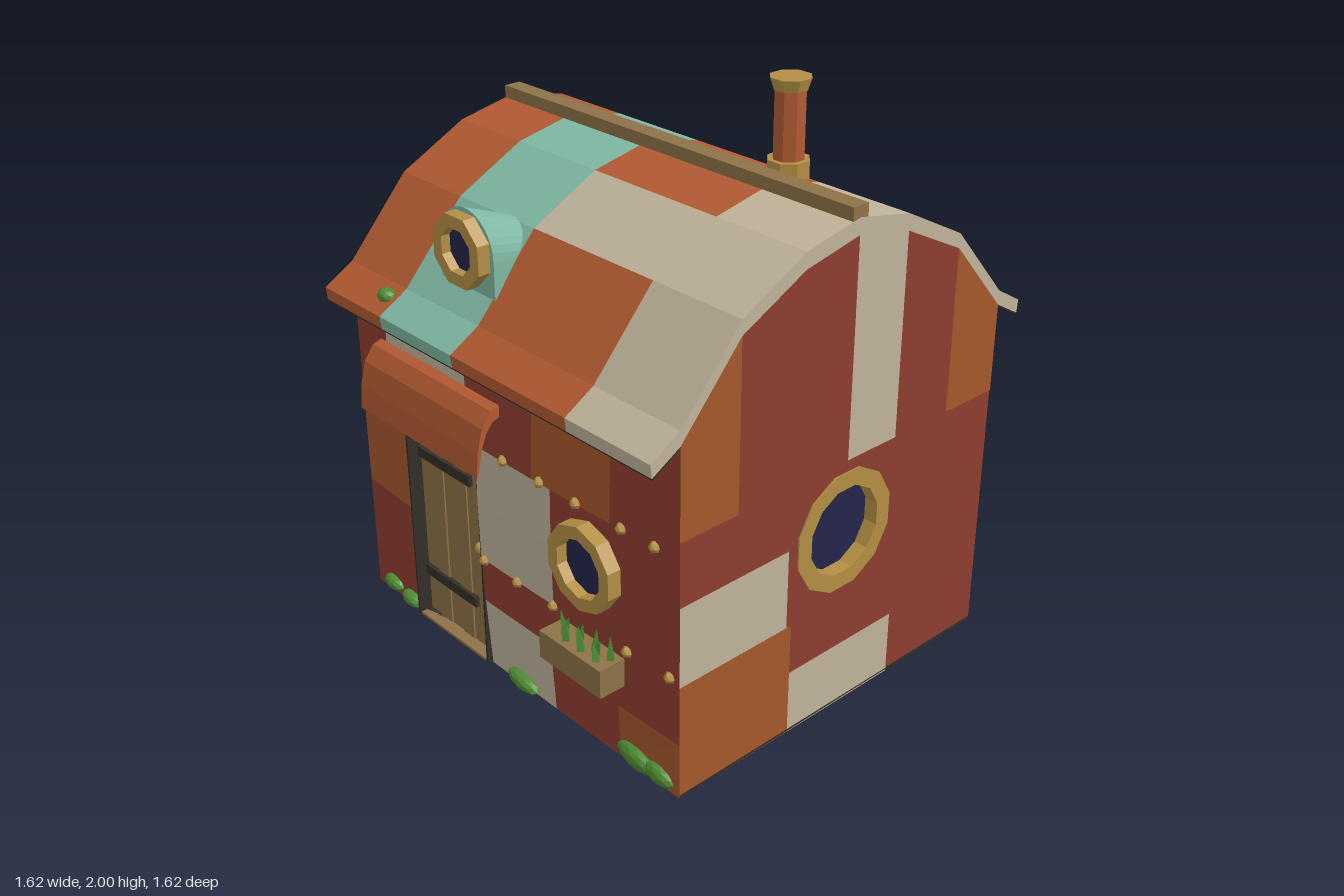
import * as THREE from 'three';
import { mergeGeometries } from 'three/addons/utils/BufferGeometryUtils.js';

export function createModel() {
  const mat = (name, color, side = THREE.FrontSide) => {
    const m = new THREE.MeshStandardMaterial({ color, side });
    m.name = name;
    return m;
  };
  const red = mat('redWall', 0x8f3d30), rust = mat('rustPatch', 0xa5572b);
  const cream = mat('creamPatch', 0xbfb39a), teal = mat('tealPatch', 0x7fb8a2);
  const copper = mat('copper', 0xb25a32), brass = mat('brass', 0xb48f44);
  const wood = mat('wood', 0x8e7248), glass = mat('glass', 0x24244a);
  const green = mat('leaf', 0x4c8a32), iron = mat('iron', 0x332e28);

  const model = new THREE.Group();
  model.name = 'cottage';

  // helpers: faceted mesh, box, cylinder, and a (z, y) profile extruded along x
  const flat = (g) => {
    const f = g.index ? g.toNonIndexed() : g;
    f.computeVertexNormals();
    return f;
  };
  const add = (name, geo, material, parent = model) => {
    const m = new THREE.Mesh(flat(geo), material);
    m.name = name;
    parent.add(m);
    return m;
  };
  const box = (x0, x1, y0, y1, z0, z1) => new THREE.BoxGeometry(x1 - x0, y1 - y0, z1 - z0)
    .translate((x0 + x1) / 2, (y0 + y1) / 2, (z0 + z1) / 2);
  const tube = (x, z, y0, y1, r0, r1 = r0, n = 8) => new THREE.CylinderGeometry(r1, r0, y1 - y0, n)
    .rotateY(Math.PI / n).translate(x, (y0 + y1) / 2, z);
  const shapeOf = (pts) => new THREE.Shape(pts.map(([x, y]) => new THREE.Vector2(x, y)));
  const alongX = (pts, x0, x1) => new THREE.ExtrudeGeometry(
    shapeOf(pts.map(([z, y]) => [-z, y])), { depth: x1 - x0, bevelEnabled: false })
    .rotateY(Math.PI / 2).translate(x0, 0, 0);
  const polygon = (r, n, cy = 0) => Array.from({ length: n }, (_, i) => {
    const a = (i + 0.5) / n * Math.PI * 2;
    return [r * Math.cos(a), cy + r * Math.sin(a)];
  });

  // long walls: a slightly bulging grid cut along the patch edges
  const W = 0.81, H = 1.24, D = 0.70;
  const bulge = (x, y) => D + 0.027 * (1 - (x / W) ** 2) * Math.sin(Math.PI * y / H);
  function longWall(name, patches, sign) {
    const cuts = (a, b, ...extra) => [...new Set(
      [...extra, ...patches.flatMap((p) => [p[a], p[b]])])].sort((p, q) => p - q);
    const us = cuts(0, 1, -W, 0, 0.4, W), vs = cuts(2, 3, 0, 0.65, 1.05, H);
    const cells = new Map();
    const point = (u, v) => [sign * u, v, sign * bulge(u, v)];
    for (let i = 0; i < us.length - 1; i++) for (let j = 0; j < vs.length - 1; j++) {
      const u = (us[i] + us[i + 1]) / 2, v = (vs[j] + vs[j + 1]) / 2;
      const hit = patches.find((p) => u > p[0] && u < p[1] && v > p[2] && v < p[3]);
      const m = hit ? hit[4] : red;
      if (!m) continue;
      const a = point(us[i], vs[j]), b = point(us[i + 1], vs[j]);
      const c = point(us[i + 1], vs[j + 1]), d = point(us[i], vs[j + 1]);
      if (!cells.has(m)) cells.set(m, []);
      cells.get(m).push(...a, ...b, ...c, ...a, ...c, ...d);
    }
    for (const [m, pos] of cells) {
      const g = new THREE.BufferGeometry();
      g.setAttribute('position', new THREE.Float32BufferAttribute(pos, 3));
      add(name, g, m);
    }
  }
  longWall('frontWall', [
    [-0.53, -0.125, 0, 0.85, null], [-W, -0.53, 0.43, 0.85, rust],
    [-0.63, -0.18, 0.85, H, cream], [0.16, 0.52, 0.85, H, rust],
    [-0.125, 0.25, 0.43, 0.85, cream], [-0.125, 0.22, 0, 0.26, cream],
    [0.54, W, 0, 0.2, rust]], 1);
  longWall('backWall', [
    [-W, -0.4, 0.85, H, cream], [-W, -0.22, 0.43, 0.85, rust],
    [0.32, W, 0.43, 0.85, cream], [-0.17, 0.21, 0.85, H, rust]], -1);
  add('floor', box(-W, W, 0, 0.01, -D, D), iron);

  // curved roof sections, coloured by column and strip
  const mirror = (half) => [...half, ...half.slice(0, -1).reverse().map(([z, y]) => [-z, y])];
  const outer = mirror([[0.81, 1.205], [0.7, 1.27], [0.47, 1.53], [0.22, 1.66], [0, 1.705]]);
  const inner = mirror([[0.805, 1.16], [0.7, 1.22], [0.47, 1.48], [0.22, 1.605], [0, 1.65]]);
  const columns = [-0.81, -0.49, -0.105, 0.445, 0.81];
  const roofCells = new Map();
  for (let c = 0; c < 4; c++) for (let s = 0; s < 8; s++) {
    let m = [copper, teal, copper, cream][c];
    if (c === 0 && s === 6) m = teal;
    if (c === 2 && s === 2) m = cream;
    if (!roofCells.has(m)) roofCells.set(m, []);
    roofCells.get(m).push(alongX([outer[s], outer[s + 1], inner[s + 1], inner[s]],
      columns[c], columns[c + 1]));
  }
  for (const [m, list] of roofCells) add('roof', mergeGeometries(list), m);
  for (const s of [1, -1]) {
    add('eaveLining', alongX([[s * 0.803, 1.16], [s * 0.7, 1.22], [s * 0.7, 1.214],
      [s * 0.803, 1.154]], -W, W), iron);
  }
  add('ridgeBeam', box(-W, W, 1.69, 1.742, -0.032, 0.032), wood);

  // round window facing +z: ring with its glass set back
  function roundWindow(name, r, hole, n, depth) {
    const g = new THREE.Group();
    g.name = name;
    const s = shapeOf(polygon(r, n));
    s.holes.push(new THREE.Path(shapeOf(polygon(hole, n)).getPoints()));
    add('windowRing', new THREE.ExtrudeGeometry(s, { depth, bevelEnabled: false }), brass, g);
    add('windowGlass', new THREE.ShapeGeometry(shapeOf(polygon(hole * 1.02, n)))
      .translate(0, 0, 0.012), glass, g);
    model.add(g);
    return g;
  }
  roundWindow('frontWindow', 0.147, 0.102, 10, 0.05).position.set(0.435, 0.675, 0.72);
  roundWindow('dormerWindow', 0.125, 0.079, 8, 0.045).position.set(-0.225, 1.475, 0.64);

  // gable walls with recessed windows and flat patches
  const top = (z) => {
    const i = inner.findIndex(([pz], k) => k > 0 && pz <= z);
    const [z0, y0] = inner[i - 1], [z1, y1] = inner[i];
    return y0 + (y1 - y0) * (z - z0) / (z1 - z0);
  };
  const gablePatches = {
    1: [[0.47, 0.7, 0.91, 0, rust], [-0.22, 0, 0.91, 0, cream], [-0.7, -0.47, 0.91, 0, rust],
      [0.25, 0.7, 0.41, 0.69, cream], [0.23, 0.7, 0, 0.41, rust], [-0.25, 0.23, 0, 0.23, cream]],
    '-1': [[-0.47, -0.22, 0.91, 0, cream], [0.47, 0.7, 0.91, 0, cream], [0, 0.22, 0.91, 0, rust],
      [-0.16, 0.25, 0.23, 0.44, cream], [-0.5, -0.23, 0, 0.65, rust]],
  };
  for (const side of [1, -1]) {
    const face = (pts, out) => {
      const s = shapeOf(pts.map(([z, y]) => [-side * z, y]));
      if (!out) s.holes.push(new THREE.Path(shapeOf(polygon(0.205, 12, 0.66)).getPoints()));
      return new THREE.ShapeGeometry(s).rotateY(side * Math.PI / 2)
        .translate(side * (W - 0.003 + out), 0, 0);
    };
    add('gableWall', face([[D, 0], ...inner.slice(1, -1), [-D, 0]], 0), red);
    for (const [z0, z1, y0, y1, m] of gablePatches[side]) {
      add('gablePatch', face([[z0, y0], [z1, y0], [z1, y1 || top(z1)], [z0, y1 || top(z0)]], 0.003), m);
    }
    const w = roundWindow('gableWindow', 0.215, 0.155, 12, 0.062);
    w.rotation.y = side * Math.PI / 2;
    w.position.set(side * (W - 0.06), 0.66, 0);
  }

  // recessed plank door
  add('doorBack', box(-0.53, -0.125, 0, 0.85, 0.64, 0.655), iron);
  for (const x of [-0.531, -0.131]) add('doorJamb', box(x, x + 0.008, 0, 0.85, 0.64, 0.722), iron);
  add('doorSill', box(-0.53, -0.125, 0, 0.01, 0.64, 0.715), wood);
  for (let i = 0; i < 6; i++) {
    const x = -0.523 + i * 0.0655;
    add('doorPlank', box(x, x + 0.0625, 0.01, 0.85, 0.65, 0.67 + (i % 2) * 0.004), wood);
  }
  for (const y of [0.18, 0.655]) add('doorStrap', box(-0.52, -0.228, y - 0.019, y + 0.019, 0.67, 0.685), iron);
  add('doorKnob', new THREE.IcosahedronGeometry(0.02, 1).translate(-0.175, 0.43, 0.69), brass);

  // curved awning over the door
  add('awning', alongX([[0.71, 1.04], [0.745, 1.03], [0.782, 0.98], [0.803, 0.9], [0.81, 0.815],
    [0.8, 0.84], [0.785, 0.91], [0.765, 0.96], [0.74, 0.99], [0.71, 1.0]], -0.65, 0), copper);

  // arched dormer, tapering into the roof
  const arch = shapeOf([[-0.137, 1.34], [0.137, 1.34], [0.137, 1.47]]);
  arch.absarc(0, 1.47, 0.137, 0, Math.PI);
  const dormer = new THREE.ExtrudeGeometry(arch, { depth: 0.24, bevelEnabled: false, curveSegments: 8 })
    .translate(0, 0, 0.4);
  const p = dormer.attributes.position;
  for (let i = 0; i < p.count; i++) {
    if (p.getZ(i) < 0.5) p.setXY(i, p.getX(i) * 0.75, 1.34 + (p.getY(i) - 1.34) * 0.65);
  }
  add('dormer', dormer.translate(-0.228, 0, 0), teal);

  // chimney and drainpipe
  add('chimneyBase', tube(0.385, -0.143, 1.685, 1.742, 0.07), brass);
  add('chimneyPipe', tube(0.385, -0.143, 1.66, 1.97, 0.052), copper);
  add('chimneyCap', tube(0.385, -0.143, 1.96, 2, 0.055, 0.068), brass);
  add('drainpipe', tube(-0.63, -0.757, 0, 1.2, 0.032), copper);
  add('drainpipeFoot', tube(-0.63, -0.757, 0, 0.02, 0.038), copper);
  add('drainpipeHead', box(-0.69, -0.57, 1.165, 1.212, -0.805, -0.715), copper);

  // repair plate on the back
  add('backPlate', box(-0.24, 0.02, 0.47, 0.76, -0.745, -0.72), rust);

  // rivets along the seams
  const rivet = (x, y, z) => new THREE.OctahedronGeometry(0.02, 1).translate(x, y, z);
  const rivets = [];
  for (const x of [-0.755, 0.02, 0.2, 0.37, 0.57, 0.71]) rivets.push(rivet(x, 0.855, bulge(x, 0.855)));
  for (const x of [-0.105, 0.07, 0.25, 0.59, 0.77]) rivets.push(rivet(x, 0.43, bulge(x, 0.43)));
  for (let x = -0.75; x < 0.8; x += 0.1875) rivets.push(rivet(x, 0.855, -bulge(x, 0.855)));
  for (const x of [-0.21, -0.01]) for (const y of [0.5, 0.73]) rivets.push(rivet(x, y, -0.745));
  add('rivets', mergeGeometries(rivets), brass);

  // flower box
  add('flowerBox', box(0.29, 0.58, 0.3, 0.4, 0.715, 0.812), wood);
  for (let i = 0; i < 10; i++) {
    const h = 0.06 + (i * 7 % 4) * 0.01;
    add('leaf', new THREE.ConeGeometry(0.018, h, 4).translate(0, h / 2, 0)
      .rotateZ(((i * 5) % 7 - 3) * 0.12).translate(0.335 + i * 0.024, 0.395, 0.745 + (i % 3) * 0.018), green);
  }

  // moss clumps: x, y, z, half width, half height
  for (const [x, y, z, w, h] of [
    [-0.7, 0.045, 0.705, 0.05, 0.026], [-0.58, 0.035, 0.71, 0.055, 0.025],
    [0.065, 0.033, 0.715, 0.075, 0.027], [0.62, 0.045, 0.705, 0.085, 0.035],
    [0.72, 0.04, 0.7, 0.065, 0.032], [-0.54, 1.245, 0.745, 0.035, 0.025],
    [0.44, 0.035, -0.71, 0.06, 0.03], [-0.15, 0.035, -0.715, 0.075, 0.03]]) {
    add('moss', new THREE.IcosahedronGeometry(1, 1).scale(w, h, 0.03)
      .rotateZ(-0.15).translate(x, y, z), green);
  }
  return model;
}
